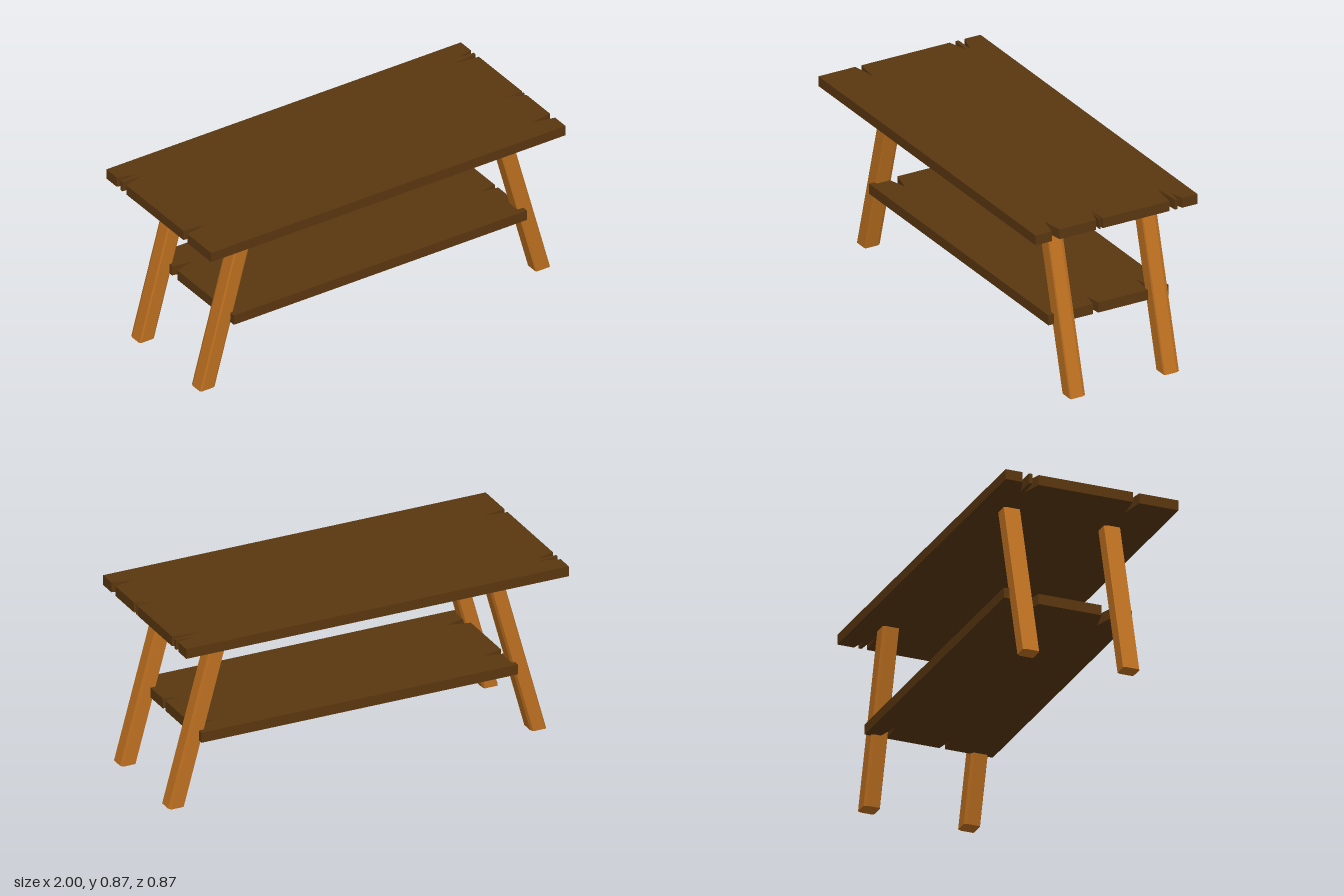
import * as THREE from 'three';

const darkWood = new THREE.MeshStandardMaterial({ color: 0x5a3710, flatShading: true });
const lightWood = new THREE.MeshStandardMaterial({ color: 0xbd7020, flatShading: true });

// Flat board with splintered ends; splits are [x, z] points, ordered back to front
function board(name, x0, x1, z0, z1, y0, y1, leftSplits, rightSplits) {
  const outline = [[x0, z0], [x1, z0], ...rightSplits, [x1, z1], [x0, z1], ...leftSplits.slice().reverse()];
  const shape = new THREE.Shape(outline.map(([x, z]) => new THREE.Vector2(x, -z)));
  const geo = new THREE.ExtrudeGeometry(shape, { depth: y1 - y0, bevelEnabled: false });
  geo.rotateX(-Math.PI / 2).translate(0, y0, 0);
  const mesh = new THREE.Mesh(geo, darkWood);
  mesh.name = name;
  return mesh;
}

// Leaning leg: chamfered square section sheared along its height
function leg(name, side, z0, z1, footX, topX) {
  const w = 0.04, c = 0.008, b = 0.016;
  const section = [
    [-w + c, z0], [w - c, z0], [w, z0 + b], [w, z1 - c / 2],
    [w - c, z1], [-w + c, z1], [-w, z1 - c / 2], [-w, z0 + b],
  ];
  const shape = new THREE.Shape(section.map(([x, z]) => new THREE.Vector2(x, -z)));
  const height = 0.82;
  const geo = new THREE.ExtrudeGeometry(shape, { depth: height, bevelEnabled: false });
  geo.rotateX(-Math.PI / 2);
  const p = geo.attributes.position;
  for (let i = 0; i < p.count; i++) {
    const t = p.getY(i) / height;
    p.setX(i, p.getX(i) + side * (footX + (topX - footX) * t));
  }
  geo.computeVertexNormals();
  const mesh = new THREE.Mesh(geo, lightWood);
  mesh.name = name;
  return mesh;
}

export function createModel() {
  const model = new THREE.Group();
  model.name = 'table';

  // Table top
  model.add(board('tableTop', -1, 0.965, -0.435, 0.432, 0.817, 0.867,
    [[-1, -0.35], [-0.9, -0.318], [-1, -0.318], [-1, -0.302], [-0.9, -0.297], [-1, -0.27],
      [-1, 0.203], [-0.88, 0.215], [-1, 0.235]],
    [[0.965, -0.352], [0.89, -0.334], [0.965, -0.328], [0.965, -0.314], [0.83, -0.302], [0.965, -0.286],
      [0.965, 0.072], [0.855, 0.078], [0.965, 0.083], [0.965, 0.09], [0.9, 0.088], [0.965, 0.108],
      [0.965, 0.303], [0.86, 0.32], [0.965, 0.345]]));

  // Lower shelf
  model.add(board('shelf', -0.78, 0.845, -0.35, 0.292, 0.324, 0.375,
    [[-0.78, -0.22], [-0.68, -0.2], [-0.78, -0.175], [-0.78, 0.14], [-0.67, 0.165], [-0.78, 0.195]],
    [[0.845, -0.28], [0.72, -0.25], [0.845, -0.24], [0.845, 0.025], [0.76, 0.038], [0.845, 0.053]]));

  // Legs, splayed outward at both ends
  for (const [row, z0, z1] of [['front', 0.18, 0.262], ['back', -0.322, -0.24]]) {
    model.add(leg(row + 'LeftLeg', 1, z0, z1, 0.955, 0.73));
    model.add(leg(row + 'RightLeg', -1, z0, z1, 0.905, 0.68));
  }
  return model;
}
